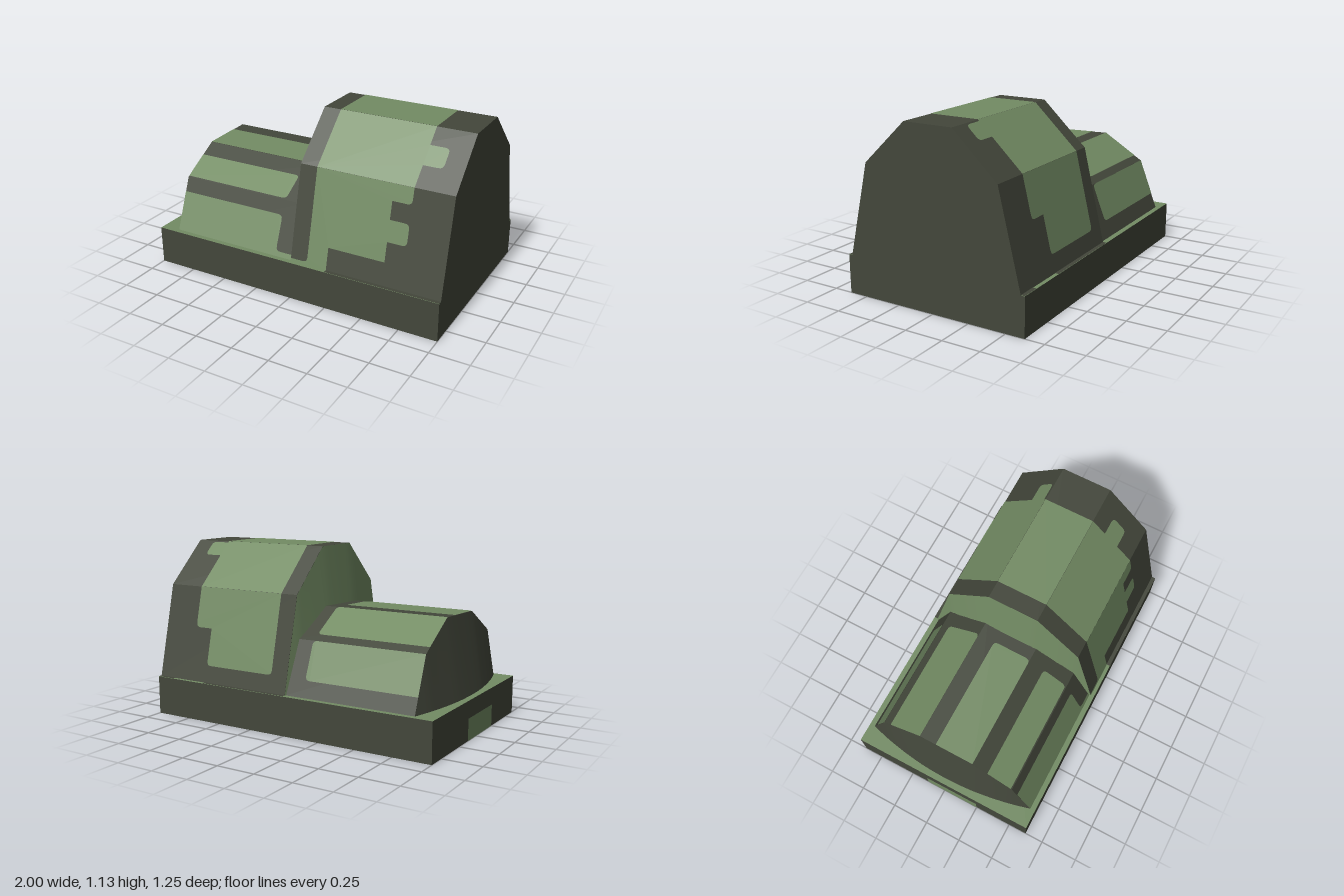
import * as THREE from 'three';

const green = new THREE.MeshStandardMaterial({ color: 0x738c64 });
green.name = 'sage green';
const dark = new THREE.MeshStandardMaterial({ color: 0x43473b });
dark.name = 'dark olive';

// Profiles run over the hut from the front foot to the back foot, as [z, y].
const tallProfile = [[0.6, 0.25], [0.457, 0.85], [0.165, 1.125], [-0.165, 1.125], [-0.457, 0.85], [-0.6, 0.25]];
const lowProfile = [[0.59, 0.25], [0.455, 0.58], [0.185, 0.738], [-0.18, 0.75], [-0.46, 0.58], [-0.59, 0.25]];

function mesh(name, geometry, material) {
  const m = new THREE.Mesh(geometry, material);
  m.name = name;
  return m;
}

// Straight hut body between x0 and x1.
function hull(name, profile, x0, x1) {
  const shape = new THREE.Shape(profile.map(([z, y]) => new THREE.Vector2(-z, y)));
  const g = new THREE.ExtrudeGeometry(shape, { depth: x1 - x0, bevelEnabled: false });
  g.rotateY(Math.PI / 2).translate(x0, 0, 0);
  return mesh(name, g, dark);
}

// End wall leaning outwards to a curved foot on the -x side.
function bulgedEnd(name, profile, x0, bulge, material) {
  const half = profile[0][0];
  const zs = profile.map(p => p[0]);
  for (let i = 1; i < 16; i++) zs.push(half * Math.cos(Math.PI * i / 16));
  zs.sort((a, b) => a - b);
  const topY = z => {
    for (let i = 0; i < profile.length - 1; i++) {
      const [za, ya] = profile[i], [zb, yb] = profile[i + 1];
      if (z <= za && z >= zb) return ya + (yb - ya) * (za - z) / (za - zb);
    }
    return 0.25;
  };
  const pos = [], index = [];
  zs.forEach((z, i) => {
    pos.push(x0 - 0.001, topY(z), z, x0 - 0.001 - bulge * (1 - (z / half) ** 2), 0.25, z);
    const a = 2 * i;
    if (i < zs.length - 1) index.push(a, a + 1, a + 3, a, a + 3, a + 2);
  });
  const g = new THREE.BufferGeometry();
  g.setAttribute('position', new THREE.Float32BufferAttribute(pos, 3));
  g.setIndex(index);
  g.computeVertexNormals();
  return mesh(name, g, material);
}

// Flat painted panel on one facet; points are [x, t, rounded], t from 0 to 1 across the facet.
function panel(name, profile, facet, points) {
  const [za, ya] = profile[facet], [zb, yb] = profile[facet + 1];
  const len = Math.hypot(zb - za, yb - ya);
  const dz = (zb - za) / len, dy = (yb - ya) / len;
  const v = points.map(([x, t]) => new THREE.Vector2(x, t * len));
  const shape = new THREE.Shape();
  v.forEach((p, i) => {
    const prev = v[(i + v.length - 1) % v.length], next = v[(i + 1) % v.length];
    const toward = q => p.clone().add(q.clone().sub(p).setLength(Math.min(0.03, p.distanceTo(q) * 0.4)));
    const rounded = points[i][2];
    const start = rounded ? toward(prev) : p;
    if (i === 0) shape.moveTo(start.x, start.y);
    else shape.lineTo(start.x, start.y);
    if (rounded) {
      const end = toward(next);
      shape.quadraticCurveTo(p.x, p.y, end.x, end.y);
    }
  });
  const g = new THREE.ShapeGeometry(shape, 4);
  const a = g.attributes.position;
  for (let i = 0; i < a.count; i++) {
    const s = a.getY(i);
    a.setXYZ(i, a.getX(i), ya + dy * s - dz * 0.002, za + dz * s + dy * 0.002);
  }
  g.computeVertexNormals();
  return mesh(name, g, green);
}

export function createModel() {
  const model = new THREE.Group();
  model.name = 'steppedHut';

  // Base slab with its painted edges
  const base = new THREE.Group();
  base.name = 'base';
  const slab = new THREE.BoxGeometry(2, 0.25, 1.25).translate(0, 0.125, 0);
  base.add(mesh('baseSlab', slab, [dark, dark, green, green, dark, dark]));
  for (const [x0, x1, z0, z1] of [[0.25, 1, 0.57, 0.625], [0, 0.625, -0.625, -0.57], [0.875, 1, -0.625, -0.57]]) {
    const g = new THREE.PlaneGeometry(x1 - x0, z1 - z0).rotateX(-Math.PI / 2);
    g.translate((x0 + x1) / 2, 0.252, (z0 + z1) / 2);
    base.add(mesh('baseTopStrip', g, dark));
  }
  const patch = new THREE.PlaneGeometry(0.375, 0.14).rotateY(-Math.PI / 2).translate(-1.002, 0.07, 0.0625);
  base.add(mesh('baseEndPatch', patch, green));

  // Tall hut
  const tall = new THREE.Group();
  tall.name = 'tallHut';
  tall.add(hull('tallBody', tallProfile, 0, 1));
  tall.add(bulgedEnd('tallEndWall', tallProfile, 0, 0.09, green));
  const tallPanels = [
    [[0, 0], [0.25, 0], [0.25, 0.233], [0.625, 0.233], [0.625, 0.433], [0.75, 0.433, 1], [0.75, 0.65, 1],
      [0.625, 0.65], [0.625, 0.833], [0.75, 0.833, 1], [0.75, 1], [0.115, 1], [0.115, 0.033, 1], [0, 0.033]],
    [[0.115, 0], [0.75, 0], [0.75, 0.36], [0.875, 0.36, 1], [0.875, 0.69, 1], [0.75, 0.69], [0.75, 1], [0.115, 1]],
    [[0.115, 0], [0.75, 0], [0.75, 1], [0.115, 1]],
    [[0.115, 0], [0.75, 0], [0.75, 0.03], [0.875, 0.03, 1], [0.875, 0.32, 1], [0.75, 0.32], [0.75, 1], [0.115, 1]],
    [[0.115, 0], [0.75, 0], [0.75, 0.43, 1], [0.625, 0.43], [0.625, 0.82, 1], [0.115, 0.82, 1]],
  ];
  tallPanels.forEach((points, i) => tall.add(panel('tallPanel', tallProfile, i, points)));

  // Low hut
  const low = new THREE.Group();
  low.name = 'lowHut';
  low.add(hull('lowBody', lowProfile, -0.875, 0));
  low.add(bulgedEnd('lowEndWall', lowProfile, -0.875, 0.085, dark));
  low.add(panel('lowPanel', lowProfile, 0,
    [[-0.875, 0], [0, 0], [0, 0.09], [-0.12, 0.09, 1], [-0.12, 0.73, 1], [-0.875, 0.73]]));
  [[0.03, 0.63], [0, 0.7], [0, 0.82], [0, 0.7]].forEach(([t0, t1], i) => {
    low.add(panel('lowPanel', lowProfile, i + 1,
      [[-0.875, t0], [-0.12, t0, 1], [-0.12, t1, 1], [-0.875, t1]]));
  });

  model.add(base, tall, low);
  return model;
}
